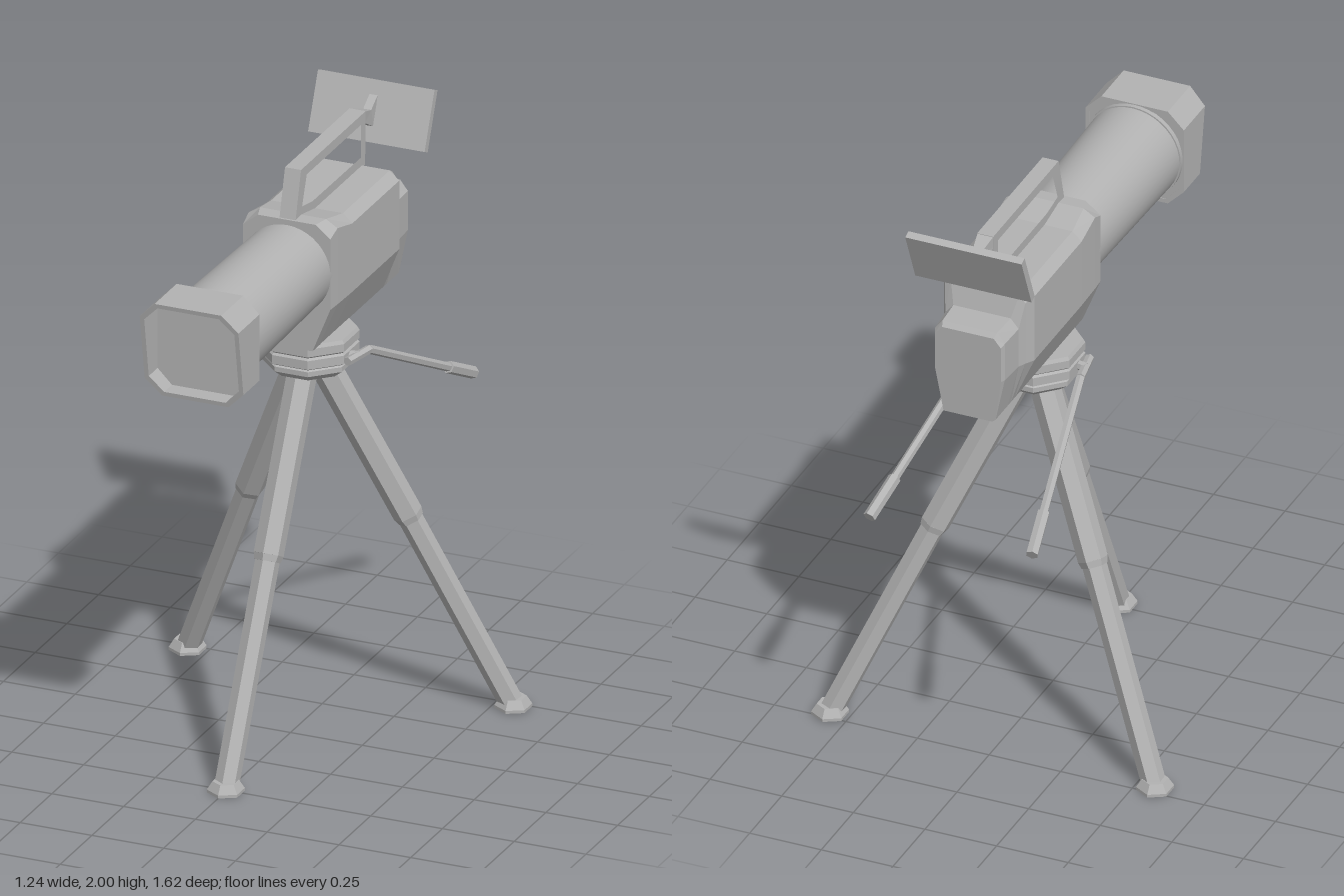
import * as THREE from 'three';

const CZ = -0.145; // tripod axis
const AXIS_Y = 1.626; // lens axis height

const grey = new THREE.MeshStandardMaterial({ color: 0xb2b2b2 });
grey.name = 'grey';

// bake hard facets into a geometry
function flat(geo) {
  const g = geo.index ? geo.toNonIndexed() : geo;
  g.computeVertexNormals();
  return g;
}

function add(parent, name, geo) {
  const mesh = new THREE.Mesh(geo, grey);
  mesh.name = name;
  parent.add(mesh);
  return mesh;
}

// faceted bar from point a to point b
function bar(parent, name, a, b, rA, rB, sides = 6) {
  const p = new THREE.Vector3(...a), q = new THREE.Vector3(...b);
  const dir = q.clone().sub(p);
  const mesh = add(parent, name, flat(new THREE.CylinderGeometry(rB, rA, dir.length(), sides)));
  mesh.position.copy(p).add(q).multiplyScalar(0.5);
  mesh.quaternion.setFromUnitVectors(new THREE.Vector3(0, 1, 0), dir.normalize());
  return mesh;
}

function polygon(points, C = THREE.Shape) {
  return new C(points.map(([x, y]) => new THREE.Vector2(x, y)));
}

// closed skin over sections ordered from front to back, each counterclockwise seen from the front
function loft(sections) {
  const n = sections[0].length, index = [], last = (sections.length - 1) * n;
  for (let s = 0; s < sections.length - 1; s++) {
    for (let i = 0; i < n; i++) {
      const a = s * n + i, b = s * n + (i + 1) % n;
      index.push(a, a + n, b, b, a + n, b + n);
    }
  }
  for (let i = 1; i < n - 1; i++) {
    index.push(0, i, i + 1, last, last + i + 1, last + i);
  }
  const geo = new THREE.BufferGeometry();
  geo.setAttribute('position', new THREE.Float32BufferAttribute(sections.flat(2), 3));
  geo.setIndex(index);
  return flat(geo);
}

function buildTripod(root) {
  const tripod = new THREE.Group();
  tripod.name = 'tripod';
  tripod.position.z = CZ;
  root.add(tripod);

  // three two-stage legs with flared feet
  for (let i = 0; i < 3; i++) {
    const leg = new THREE.Group();
    leg.name = ['frontLeg', 'leftLeg', 'rightLeg'][i];
    leg.rotation.y = i * Math.PI * 2 / 3;
    tripod.add(leg);
    bar(leg, 'upperLeg', [0, 0.69, 0.317], [0, 1.25, 0.035], 0.049, 0.049);
    bar(leg, 'legCollar', [0, 0.67, 0.327], [0, 0.69, 0.317], 0.043, 0.049);
    bar(leg, 'lowerLeg', [0, 0.02, 0.647], [0, 0.69, 0.317], 0.04, 0.04);
    const foot = [[0, 0], [0.061, 0], [0.061, 0.01], [0.043, 0.038], [0, 0.038]];
    add(leg, 'foot', flat(new THREE.LatheGeometry(foot.map(p => new THREE.Vector2(...p)), 6)))
      .position.z = 0.655;
  }

  // eight-sided pan head
  const head = [[0, 1.22], [0.12, 1.22], [0.152, 1.245], [0.152, 1.262], [0.145, 1.266],
    [0.162, 1.275], [0.162, 1.305], [0.155, 1.312], [0.162, 1.318], [0.162, 1.345], [0.155, 1.357], [0, 1.357]];
  add(tripod, 'panHead', flat(new THREE.LatheGeometry(head.map(p => new THREE.Vector2(...p)), 8)))
    .rotation.y = Math.PI / 8;

  // pan handles
  for (const s of [-1, 1]) {
    const handle = new THREE.Group();
    handle.name = s > 0 ? 'leftPanHandle' : 'rightPanHandle';
    root.add(handle);
    const start = [s * 0.163, 1.288, -0.08], elbow = [s * 0.185, 1.287, -0.2];
    const grip = [s * 0.26, 1.055, -0.655], end = [s * 0.284, 0.982, -0.8];
    bar(handle, 'handleMount', [s * 0.13, 1.288, -0.13], [s * 0.178, 1.288, -0.14], 0.016, 0.016);
    bar(handle, 'handleArm', start, elbow, 0.015, 0.015);
    bar(handle, 'handleRod', elbow, grip, 0.015, 0.015);
    bar(handle, 'handleGrip', grip, end, 0.021, 0.021);
  }
}

function buildBody(root) {
  // z, half width, top half width, shoulder height, top height, bottom half width
  const rows = [
    [0.03, 0.152, 0.1, 1.755, 1.797, 0.09],
    [-0.02, 0.155, 0.115, 1.775, 1.8, 0.09],
    [-0.13, 0.158, 0.125, 1.748, 1.778, 0.09],
    [-0.5, 0.158, 0.125, 1.748, 1.778, 0.09],
    [-0.53, 0.14, 0.12, 1.735, 1.762, 0.09],
    [-0.555, 0.128, 0.1, 1.65, 1.683, 0.09],
    [-0.65, 0.122, 0.095, 1.645, 1.68, 0.09],
    [-0.665, 0.115, 0.09, 1.635, 1.665, 0.085],
  ];
  add(root, 'cameraBody', loft(rows.map(([z, w, tw, sh, top, b]) => [
    [-b, 1.355, z], [b, 1.355, z], [w, 1.51, z], [w, sh, z],
    [tw, top, z], [-tw, top, z], [-w, sh, z], [-w, 1.51, z],
  ])));
}

function buildLens(root) {
  // round barrel whose underside rises where it meets the body
  const profile = [[0.153, 0.0], [0.153, 0.03], [0.153, 0.07], [0.163, 0.62]];
  const barrel = new THREE.LatheGeometry(profile.map(p => new THREE.Vector2(...p)), 40);
  barrel.rotateX(Math.PI / 2);
  const bp = barrel.attributes.position;
  for (let i = 0; i < bp.count; i++) {
    if (bp.getZ(i) < 0.05) bp.setY(i, Math.max(bp.getY(i), 1.53 - AXIS_Y));
  }
  add(root, 'lensBarrel', barrel).position.y = AXIS_Y;
  const ring = new THREE.CylinderGeometry(0.168, 0.168, 0.02, 40);
  ring.rotateX(Math.PI / 2);
  add(root, 'lensRing', ring).position.set(0, AXIS_Y, 0.63);

  // eight-sided hood with a slanted open front
  const octagon = (w, h, c) => [[-w + c, -h], [w - c, -h], [w, -h + c], [w, h - c],
    [w - c, h], [-w + c, h], [-w, h - c], [-w, -h + c]];
  const shape = polygon(octagon(0.172, 0.171, 0.056));
  shape.holes.push(polygon(octagon(0.157, 0.156, 0.05), THREE.Path));
  const hood = new THREE.ExtrudeGeometry(shape, { depth: 1, bevelEnabled: false });
  const hp = hood.attributes.position;
  for (let i = 0; i < hp.count; i++) {
    hp.setZ(i, hp.getZ(i) > 0.5 ? 0.78 + 0.17 * hp.getY(i) : 0.635);
  }
  add(root, 'lensHood', flat(hood)).position.y = AXIS_Y;
  const glass = new THREE.ExtrudeGeometry(polygon(octagon(0.16, 0.16, 0.05)), { depth: 0.055, bevelEnabled: false });
  add(root, 'lensFront', glass).position.set(0, AXIS_Y, 0.637);
}

function buildHandle(root) {
  // side profiles are drawn as [z, y], then turned to run across x
  const across = (name, outline, hole, halfWidth) => {
    const shape = polygon(outline.map(([z, y]) => [-z, y]));
    if (hole) shape.holes.push(polygon(hole.map(([z, y]) => [-z, y]), THREE.Path));
    const geo = new THREE.ExtrudeGeometry(shape, { depth: 1, bevelEnabled: false });
    geo.translate(0, 0, -0.5);
    geo.rotateY(Math.PI / 2);
    const p = geo.attributes.position;
    for (let i = 0; i < p.count; i++) p.setX(i, p.getX(i) * 2 * halfWidth(p.getZ(i)));
    add(root, name, flat(geo));
  };
  // carrying handle
  across('carryHandle',
    [[0.025, 1.79], [-0.02, 1.955], [-0.53, 1.955], [-0.525, 1.77], [-0.13, 1.77]],
    [[-0.028, 1.825], [-0.065, 1.922], [-0.492, 1.922], [-0.492, 1.808], [-0.11, 1.81]],
    () => 0.028);
  // tapering viewfinder arm
  across('viewfinderArm',
    [[-0.525, 1.955], [-0.605, 1.926], [-0.655, 1.957], [-0.622, 1.862], [-0.525, 1.915]],
    null, z => (z > -0.55 ? 0.028 : 0.014));
  // tilted viewfinder panel
  across('viewfinderPanel',
    [[-0.676, 2.0], [-0.7, 1.99], [-0.622, 1.805], [-0.598, 1.816]],
    null, () => 0.203);
}

export function createModel() {
  const root = new THREE.Group();
  root.name = 'tripodCamera';
  buildTripod(root);
  buildBody(root);
  buildLens(root);
  buildHandle(root);
  return root;
}
